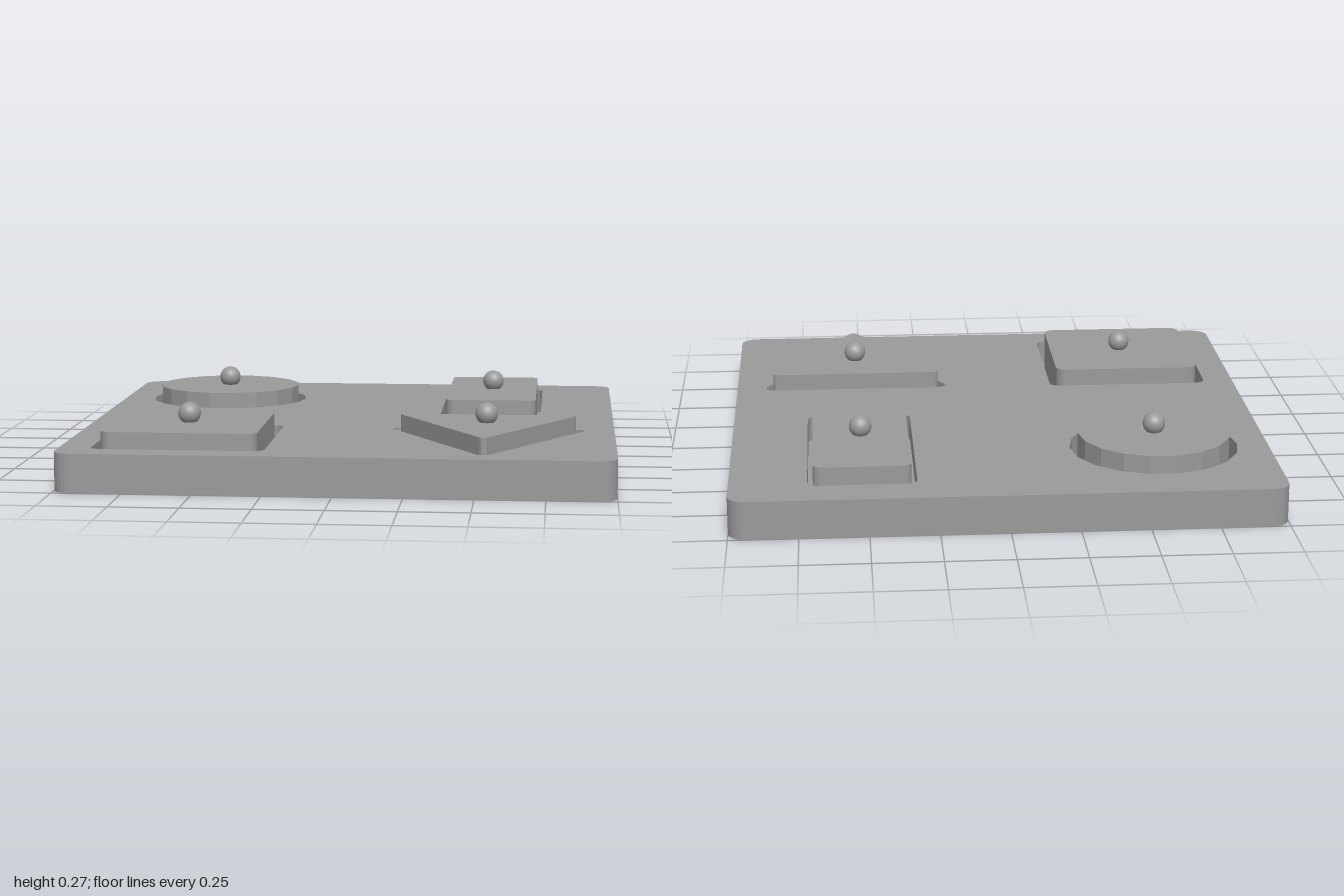
import * as THREE from 'three';

const BOARD_TOP = 0.142, FLOOR = 0.05, PIECE_TOP = 0.199;
const v = (x, y) => new THREE.Vector2(x, y);

// Rounds every corner of a convex, counter-clockwise polygon
function rounded(points, r, steps = 6) {
  const n = points.length, out = [];
  points.forEach((p, i) => {
    const a = p.clone().sub(points[(i + n - 1) % n]).normalize();
    const b = points[(i + 1) % n].clone().sub(p).normalize();
    const turn = Math.acos(a.dot(b));
    const start = Math.atan2(a.y, a.x) - Math.PI / 2;
    const inward = b.clone().sub(a).normalize();
    const c = p.clone().addScaledVector(inward, r / Math.cos(turn / 2));
    for (let k = 0; k <= steps; k++) {
      const t = start + (turn * k) / steps;
      out.push(v(c.x + r * Math.cos(t), c.y + r * Math.sin(t)));
    }
  });
  return out;
}

// Outlines, in the plane with y pointing to the back
const rect = (w, d, r) => rounded([v(-w, -d), v(w, -d), v(w, d), v(-w, d)], r);
const ngon = (n, radius, start = 0) => Array.from({ length: n }, (_, i) => {
  const t = start + (i / n) * Math.PI * 2;
  return v(radius * Math.cos(t), radius * Math.sin(t));
});
const triangle = (radius, r) => rounded(ngon(3, radius, -Math.PI / 2), r, 4);

// Upright faceted prism of an outline between two heights
function prism(outline, y0, y1, holes = []) {
  const shape = new THREE.Shape(outline);
  shape.holes = holes.map((h) => new THREE.Path(h));
  const geo = new THREE.ExtrudeGeometry(shape, { depth: y1 - y0, bevelEnabled: false });
  return geo.rotateX(-Math.PI / 2).translate(0, y0, 0);
}

export function createModel() {
  const model = new THREE.Group();
  model.name = 'shapePuzzle';
  const material = new THREE.MeshStandardMaterial({ color: 0x9a9a9a });
  const add = (parent, name, geo) => {
    const mesh = new THREE.Mesh(geo, material);
    mesh.name = name;
    parent.add(mesh);
    return mesh;
  };

  const pieces = [
    { name: 'circle', x: -0.571, z: -0.502, hole: ngon(18, 0.315), body: ngon(18, 0.285) },
    { name: 'rectangle', x: 0.521, z: -0.46, hole: rect(0.197, 0.392, 0.04), body: rect(0.177, 0.36, 0.03) },
    { name: 'square', x: -0.57, z: 0.57, hole: rect(0.315, 0.315, 0.04), body: rect(0.285, 0.285, 0.04) },
    { name: 'triangle', x: 0.526, z: 0.49, hole: triangle(0.44, 0.03), body: triangle(0.394, 0.016) },
  ];

  // Board: closed base below, pierced plate above
  const board = new THREE.Group();
  board.name = 'board';
  model.add(board);
  const outline = rect(1, 1, 0.065);
  const holes = pieces.map((p) => p.hole.map((q) => v(q.x + p.x, q.y - p.z)));
  add(board, 'boardBase', prism(outline, 0, FLOOR));
  add(board, 'boardPlate', prism(outline, FLOOR, BOARD_TOP, holes));

  // Loose pieces, each with a round knob
  for (const p of pieces) {
    const group = new THREE.Group();
    group.name = p.name + 'Piece';
    group.position.set(p.x, 0, p.z);
    add(group, p.name + 'Block', prism(p.body, FLOOR, PIECE_TOP));
    add(group, p.name + 'Knob', new THREE.SphereGeometry(0.042, 24, 16)).position.y = 0.231;
    model.add(group);
  }
  return model;
}
